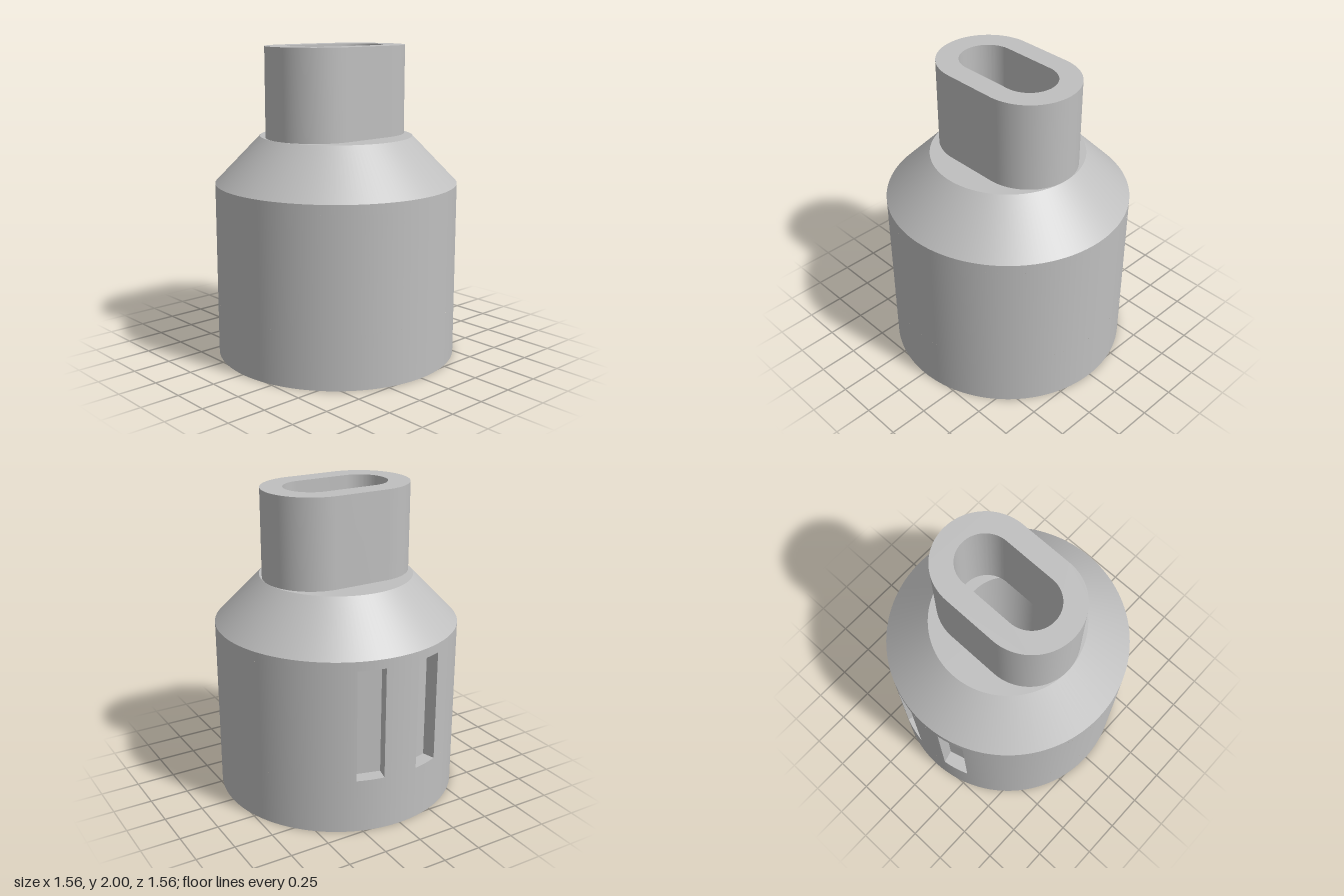
import * as THREE from 'three';
import { mergeGeometries, toCreasedNormals } from 'three/addons/utils/BufferGeometryUtils.js';

const R = 0.78, COLLAR = 0.49, BORE = 0.28;      // body, collar and bore radii
const SHOULDER = 1.13, NECK = 1.43, TOP = 2;     // heights
const SLOT_LOW = 0.35, SLOT_HIGH = 1.07, SLOT_FLOOR = 0.69;
const DEG = Math.PI / 180;
const SLOT_ANGLE = 15 * DEG, SLOT_HALF = 6.5 * DEG;

// one smooth surface of revolution between two (radius, height) points
function band(r0, y0, r1, y1, start = 0, length = Math.PI * 2) {
  const segments = Math.max(4, Math.round(length / (2.5 * DEG)));
  return new THREE.LatheGeometry(
    [new THREE.Vector2(r0, y0), new THREE.Vector2(r1, y1)], segments, start, length);
}

// slot outline with straight sides and round ends
function stadium(halfLength, r, Type) {
  const s = halfLength - r, p = new Type();
  p.moveTo(-s, -r);
  p.lineTo(s, -r);
  p.absarc(s, 0, r, -Math.PI / 2, Math.PI / 2, false);
  p.lineTo(-s, r);
  p.absarc(-s, 0, r, Math.PI / 2, Math.PI * 1.5, false);
  return p;
}

// recessed box open towards +z, its mouth following the body wall
function pocketGeometry() {
  const half = R * Math.sin(SLOT_HALF), mouth = R * Math.cos(SLOT_HALF);
  const h = SLOT_HIGH - SLOT_LOW, mid = (SLOT_HIGH + SLOT_LOW) / 2;
  const depth = mouth - SLOT_FLOOR, zc = (mouth + SLOT_FLOOR) / 2;
  const outline = new THREE.Shape();
  outline.moveTo(-half, SLOT_FLOOR);
  outline.lineTo(half, SLOT_FLOOR);
  outline.absarc(0, 0, R, Math.PI / 2 - SLOT_HALF, Math.PI / 2 + SLOT_HALF, false);
  outline.closePath();
  return mergeGeometries([
    new THREE.PlaneGeometry(2 * half, h).translate(0, mid, SLOT_FLOOR),
    new THREE.PlaneGeometry(depth, h).rotateY(Math.PI / 2).translate(-half, mid, zc),
    new THREE.PlaneGeometry(depth, h).rotateY(-Math.PI / 2).translate(half, mid, zc),
    new THREE.ShapeGeometry(outline).rotateX(Math.PI / 2).translate(0, SLOT_HIGH, 0),
    new THREE.ShapeGeometry(outline).rotateX(-Math.PI / 2).rotateY(Math.PI).translate(0, SLOT_LOW, 0),
  ]);
}

export function createModel() {
  const model = new THREE.Group();
  model.name = 'hoseAdapter';
  const grey = new THREE.MeshStandardMaterial({ color: 0xbfbfbf });
  grey.name = 'grey';

  function add(name, geometry) {
    const mesh = new THREE.Mesh(geometry, grey);
    mesh.name = name;
    model.add(mesh);
    return mesh;
  }

  // outer wall, left open where the two back pockets sit
  const near = SLOT_ANGLE - SLOT_HALF, far = SLOT_ANGLE + SLOT_HALF;
  add('bodyWall', mergeGeometries([
    band(R, 0, R, SLOT_LOW),
    band(R, SLOT_LOW, R, SLOT_HIGH, Math.PI + far, 2 * Math.PI - 2 * far),
    band(R, SLOT_LOW, R, SLOT_HIGH, Math.PI - near, 2 * near),
    band(R, SLOT_HIGH, R, SHOULDER),
  ]));

  // back pockets
  const pocket = pocketGeometry();
  for (const [side, name] of [[1, 'leftPocket'], [-1, 'rightPocket']]) {
    add(name, pocket).rotation.y = Math.PI - side * SLOT_ANGLE;
  }

  // sloping shoulder and flat collar
  add('shoulder', band(R, SHOULDER, COLLAR, NECK));
  add('collar', band(COLLAR, NECK, BORE, NECK));

  // inside, from the bore down to the chamfered bottom rim
  add('bore', band(BORE, NECK, BORE, 0.48));
  add('innerCone', band(BORE, 0.48, 0.55, 0.21));
  add('socket', band(0.55, 0.21, 0.55, 0.07));
  add('socketChamfer', band(0.55, 0.07, 0.62, 0));
  add('bottomRim', band(0.62, 0, R, 0));

  // oblong neck with an oblong opening
  const outline = stadium(COLLAR, 0.315, THREE.Shape);
  outline.holes.push(stadium(0.35, 0.175, THREE.Path));
  const neck = new THREE.ExtrudeGeometry(outline,
    { depth: TOP - NECK, bevelEnabled: false, curveSegments: 32 });
  neck.rotateX(-Math.PI / 2).translate(0, NECK, 0);
  add('neck', toCreasedNormals(neck, 30 * DEG));

  return model;
}
